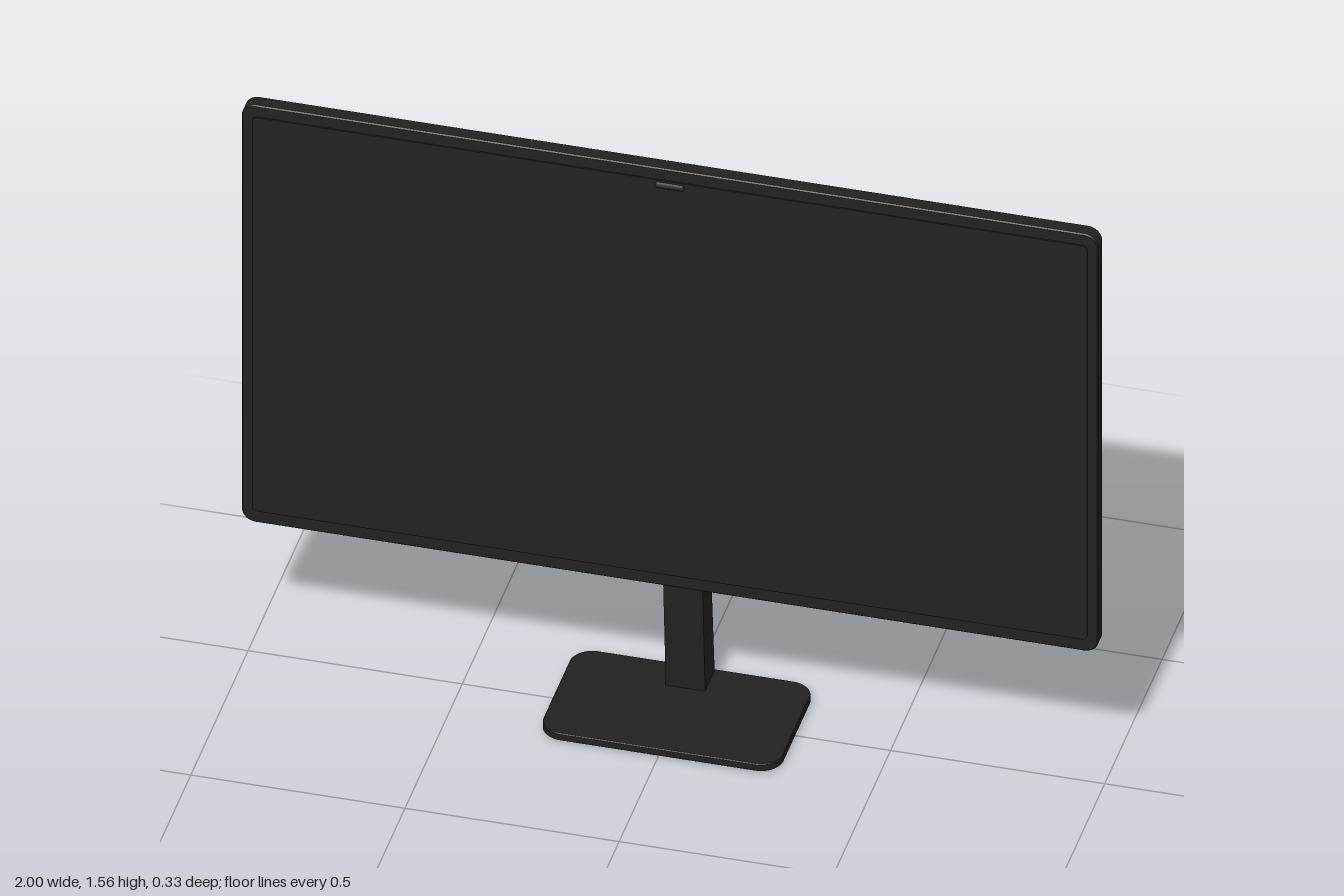
import * as THREE from 'three';

// Rounded rectangle centred on the origin
function roundedRect(w, h, r) {
  const x = w / 2, y = h / 2;
  const s = new THREE.Shape();
  s.moveTo(-x + r, -y);
  s.lineTo(x - r, -y);
  s.absarc(x - r, -y + r, r, -Math.PI / 2, 0);
  s.lineTo(x, y - r);
  s.absarc(x - r, y - r, r, 0, Math.PI / 2);
  s.lineTo(-x + r, y);
  s.absarc(-x + r, y - r, r, Math.PI / 2, Math.PI);
  s.lineTo(-x, -y + r);
  s.absarc(-x + r, -y + r, r, Math.PI, Math.PI * 1.5);
  return s;
}

// Rounded slab with its back at z = 0 and an optional small chamfer
function slab(w, h, d, r, bevel = 0) {
  const geo = new THREE.ExtrudeGeometry(
    roundedRect(w - 2 * bevel, h - 2 * bevel, r), {
      depth: d - 2 * bevel, curveSegments: 6, bevelEnabled: bevel > 0,
      bevelThickness: bevel, bevelSize: bevel, bevelSegments: 1,
    });
  return geo.translate(0, 0, bevel);
}

export function createModel() {
  const group = new THREE.Group();
  const casing = new THREE.MeshStandardMaterial({ color: 0x222222 });
  casing.name = 'charcoal plastic';

  const add = (name, geo, x, y, z) => {
    const mesh = new THREE.Mesh(geo, casing);
    mesh.name = name;
    mesh.position.set(x, y, z);
    group.add(mesh);
    return mesh;
  };

  // Display: housing, raised screen and the sensor bump above it
  add('displayHousing', slab(2, 1.155, 0.037, 0.03, 0.003), 0, 0.978, 0.02);
  add('screen', slab(1.95, 1.09, 0.006, 0.012), 0, 0.98, 0.055);
  const bump = add('sensorBump', new THREE.CapsuleGeometry(0.009, 0.055, 4, 10), 0, 1.512, 0.057);
  bump.rotation.z = Math.PI / 2;

  // Rear cover and mounting plate
  add('rearCover', slab(1.42, 0.715, 0.018, 0.02, 0.002), 0, 0.978, 0.005);
  add('mountPlate', slab(0.23, 0.18, 0.03, 0.014, 0.002), 0, 0.825, -0.022);

  // Tilting hub, its axis square to the leaning arm
  const hub = add('tiltHub',
    new THREE.CylinderGeometry(0.06, 0.06, 0.06, 32).rotateX(Math.PI / 2), 0, 0.814, -0.042);
  hub.rotation.x = 0.09;

  // Leaning arm, drawn as a (z, y) side profile and extruded across x
  const side = new THREE.Shape([
    [-0.163, 0.012], [-0.08, 0.82], [-0.031, 0.815], [-0.025, 0.735], [-0.08, 0.012],
  ].map(([z, y]) => new THREE.Vector2(-z, y)));
  const armGeo = new THREE.ExtrudeGeometry(side, { depth: 0.092, bevelEnabled: false });
  armGeo.translate(0, 0, -0.046).rotateY(Math.PI / 2);
  add('standArm', armGeo, 0, 0, 0);

  // Base plate on a slightly smaller foot pad
  add('basePlate', slab(0.56, 0.333, 0.02, 0.05, 0.002).rotateX(-Math.PI / 2), 0, 0.006, -0.002);
  add('footPad', slab(0.53, 0.3, 0.008, 0.04).rotateX(-Math.PI / 2), 0, 0, -0.002);

  return group;
}
